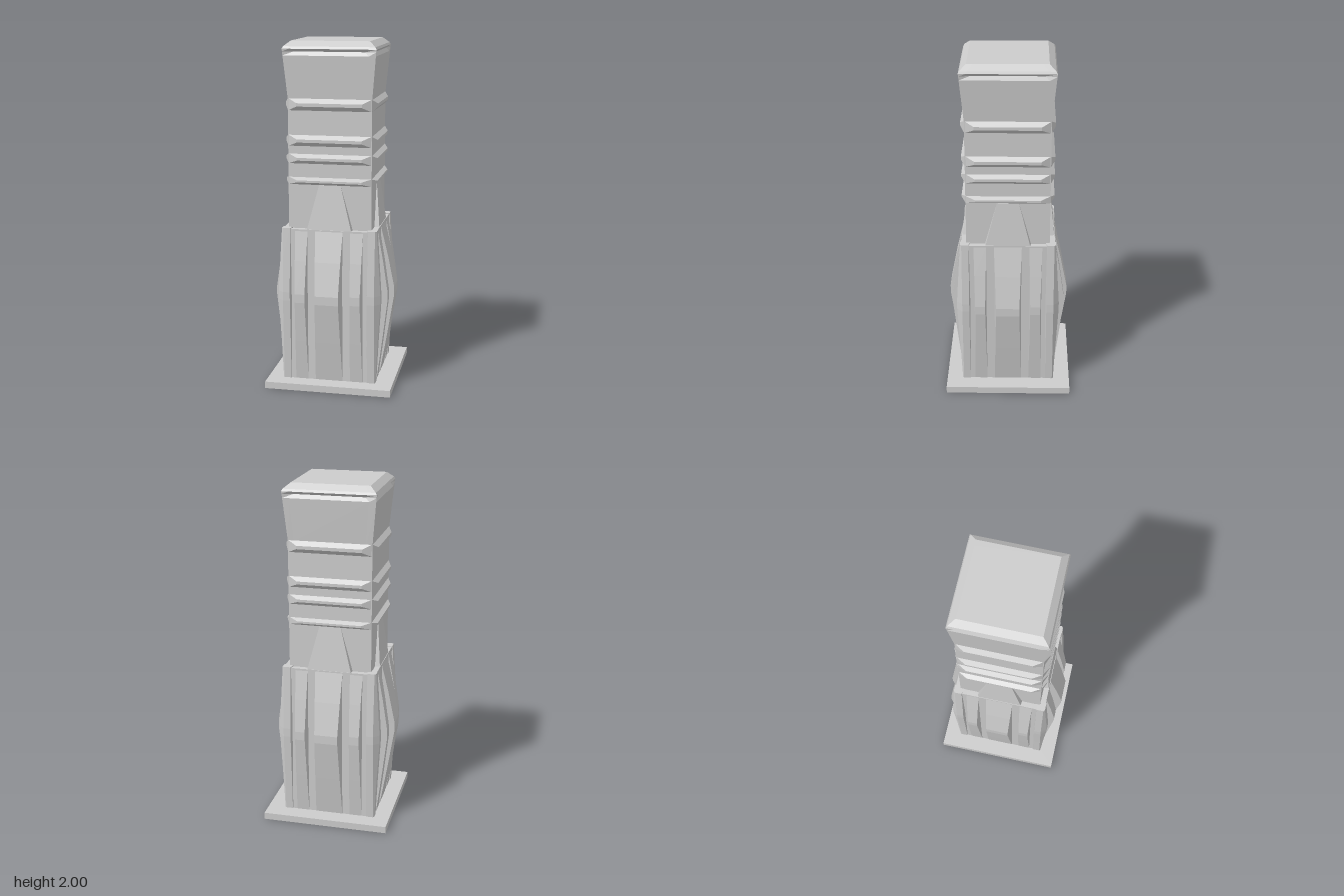
import * as THREE from 'three';

const material = new THREE.MeshStandardMaterial({ color: 0xcccccc, flatShading: true });

// Joins equal-length loops of [x, y, z] points into a closed solid.
// Loops run counter-clockwise seen against the direction of travel.
function loft(loops) {
  const pos = [], idx = [], n = loops[0].length;
  loops.forEach(loop => loop.forEach(p => pos.push(...p)));
  for (let k = 0; k < loops.length - 1; k++) {
    for (let i = 0; i < n; i++) {
      const a = k * n + i, b = k * n + (i + 1) % n;
      idx.push(a, b, b + n, a, b + n, a + n);
    }
  }
  const last = (loops.length - 1) * n;
  for (let i = 1; i < n - 1; i++) {
    idx.push(0, i + 1, i, last, last + i, last + i + 1);
  }
  const g = new THREE.BufferGeometry();
  g.setAttribute('position', new THREE.Float32BufferAttribute(pos, 3));
  g.setIndex(idx);
  const flat = g.toNonIndexed();
  flat.computeVertexNormals();
  return flat;
}

function add(parent, name, geometry) {
  const mesh = new THREE.Mesh(geometry, material);
  mesh.name = name;
  parent.add(mesh);
  return mesh;
}

// Square section whose sides are pushed in by d between the corners
function squareLoop(y, h, d = 0, w = h * 0.85) {
  const loop = [];
  for (let r = 0; r < 4; r++) {
    for (let [x, z] of [[h, h], [h - d, w], [h - d, -w]]) {
      for (let k = 0; k < r; k++) [x, z] = [z, -x];
      loop.push([x, y, z]);
    }
  }
  return loop;
}

// Trapezoid section of a bar standing on the +z face
const barLoop = (y, cx, wBase, wOut, zIn, zOut) => [
  [cx + wOut, y, zOut], [cx + wBase, y, zIn], [cx - wBase, y, zIn], [cx - wOut, y, zOut],
];

// Bowed vertical rib, thickest at mid height
function rib(cx, wBase, wOut, peak) {
  const low = 0.268, mid = 0.53 * (peak - low) + low;
  return loft([[0.03, low], [0.28, mid], [0.52, peak], [0.57, peak], [0.76, mid], [0.94, low]]
    .map(([y, z]) => {
      const t = (z - low) / (peak - low);
      return barLoop(y, cx, wBase, wBase + (wOut - wBase) * t, 0.25, z);
    }));
}

// Wedge-shaped bar lying across the +z face
function band(y0, y1) {
  const rect = (w, a, b, z) => [[-w, a, z], [w, a, z], [w, b, z], [-w, b, z]];
  const h = y1 - y0;
  return loft([
    rect(0.235, y0, y1, 0.225),
    rect(0.235, y0, y1, 0.239),
    rect(0.185, y0 + h * 0.36, y1 - h * 0.36, 0.263),
  ]);
}

export function createModel() {
  const model = new THREE.Group();
  model.name = 'squarePost';

  // Base plate
  add(model, 'basePlate', new THREE.BoxGeometry(0.735, 0.04, 0.735)).position.y = 0.02;

  const post = new THREE.Group();
  post.name = 'post';
  post.position.set(-0.006, 0, 0.002);
  model.add(post);

  // Lower block, and shaft with flared head, narrow groove and bevelled top
  add(post, 'lowerBody', loft([squareLoop(0.03, 0.268), squareLoop(0.94, 0.27)]));
  add(post, 'shaftAndCap', loft([
    squareLoop(0.93, 0.239),
    squareLoop(1.68, 0.239),
    squareLoop(1.92, 0.261),
    squareLoop(1.942, 0.263, 0.014, 0.2),
    squareLoop(1.957, 0.265),
    squareLoop(1.97, 0.258),
    squareLoop(2.0, 0.222),
  ]));

  // Parts repeated on all four sides
  const ribGeo = rib(0, 0.08, 0.068, 0.349);
  const sideRibGeos = [-1, 1].map(s => rib(s * 0.16, 0.037, 0.029, 0.328));
  const panelGeo = loft([
    barLoop(0.93, 0, 0.14, 0.13, 0.2, 0.268),
    barLoop(1.195, 0, 0.07, 0.062, 0.2, 0.24),
  ]);
  const bandGeos = [[1.195, 1.237], [1.315, 1.37], [1.415, 1.477], [1.615, 1.682]]
    .map(([a, b]) => band(a, b));
  // Corner rib wrapping the block's edge with a chamfer
  const cornerGeo = loft([[0.03, 0.272], [0.28, 0.284], [0.52, 0.298], [0.57, 0.298], [0.76, 0.286], [0.945, 0.274]]
    .map(([y, q]) => [
      [0.21, y, 0.21], [0.225, y, q], [0.266, y, q], [q, y, 0.266], [q, y, 0.225],
    ]));

  for (let i = 0; i < 4; i++) {
    const side = new THREE.Group();
    side.name = 'side' + (i + 1);
    side.rotation.y = i * Math.PI / 2;
    post.add(side);
    add(side, 'centreRib', ribGeo);
    sideRibGeos.forEach(g => add(side, 'sideRib', g));
    add(side, 'cornerRib', cornerGeo);
    add(side, 'taperedPanel', panelGeo);
    bandGeos.forEach(g => add(side, 'shaftBand', g));
  }
  return model;
}
